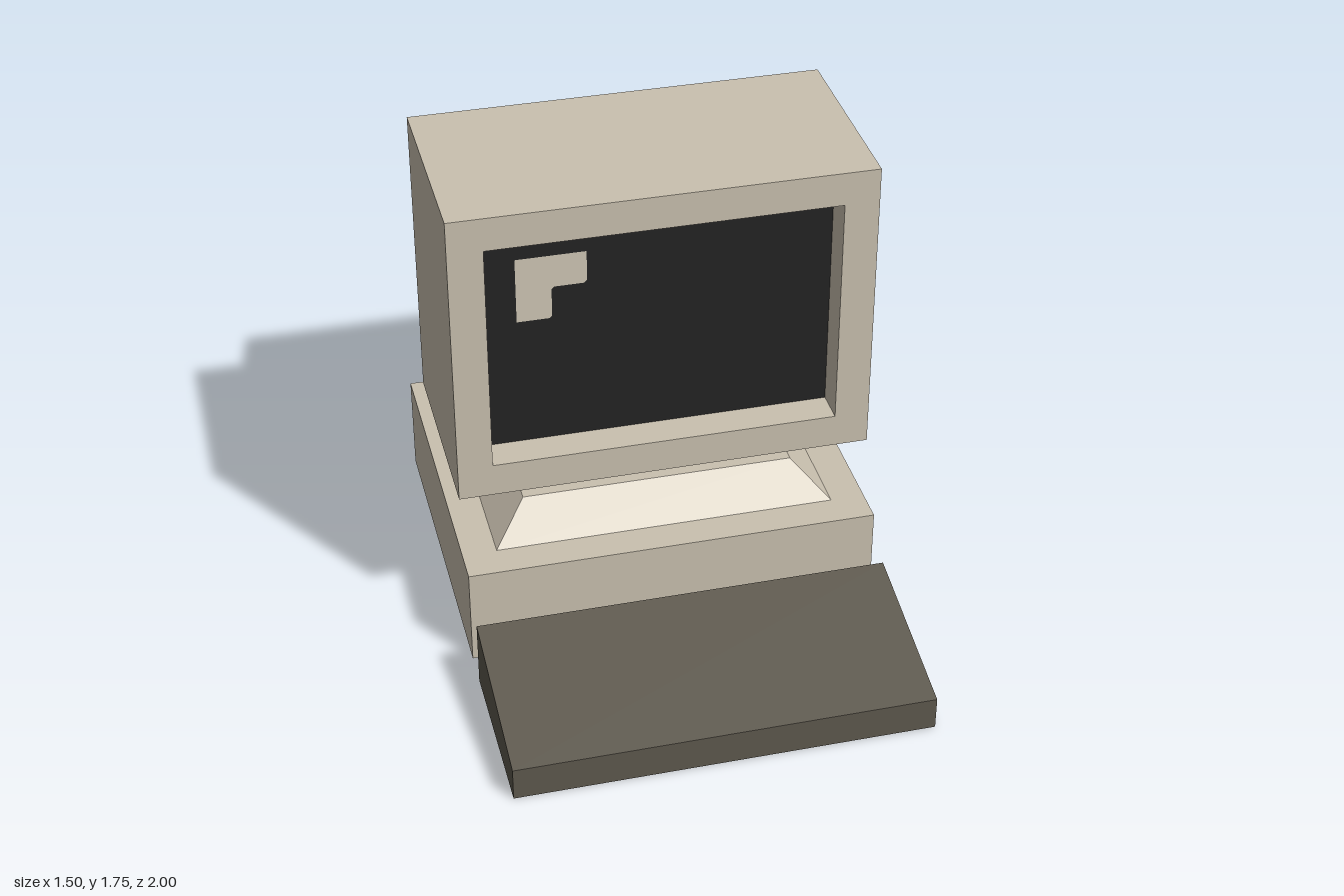
import * as THREE from 'three';

const paint = (name, color) => {
  const m = new THREE.MeshStandardMaterial({ color });
  m.name = name;
  return m;
};

// Rectangle path with optional rounded corners
function rect(path, x0, y0, x1, y1, r = 0) {
  if (!r) return path.moveTo(x0, y0).lineTo(x1, y0).lineTo(x1, y1).lineTo(x0, y1).closePath();
  path.moveTo(x0 + r, y0).lineTo(x1 - r, y0).quadraticCurveTo(x1, y0, x1, y0 + r);
  path.lineTo(x1, y1 - r).quadraticCurveTo(x1, y1, x1 - r, y1);
  path.lineTo(x0 + r, y1).quadraticCurveTo(x0, y1, x0, y1 - r);
  return path.lineTo(x0, y0 + r).quadraticCurveTo(x0, y0, x0 + r, y0);
}

const extrude = (shape, depth) =>
  new THREE.ExtrudeGeometry(shape, { depth, bevelEnabled: false, curveSegments: 4 });

// Side profile given as [z, y] points, extruded across the width
function sideProfile(points, width) {
  const shape = new THREE.Shape(points.map(([z, y]) => new THREE.Vector2(-z, y)));
  return extrude(shape, width).translate(0, 0, -width / 2).rotateY(Math.PI / 2);
}

export function createModel() {
  const model = new THREE.Group();
  model.name = 'desktopComputer';
  const beige = paint('beige casing', 0xcac1b0);
  const dark = paint('dark plastic', 0x5e594e);
  const black = paint('screen black', 0x232323);
  const glow = paint('screen glow', 0xd0c7b6);

  const add = (name, geometry, material, x = 0, y = 0, z = 0) => {
    const mesh = new THREE.Mesh(geometry, material);
    mesh.name = name;
    mesh.position.set(x, y, z);
    model.add(mesh);
    return mesh;
  };

  // Base unit
  add('baseUnit', new THREE.BoxGeometry(1.5, 0.375, 1.25), beige, 0, 0.1875, -0.375);

  // Tapered stand: a box whose top corners are pulled inward
  const stand = new THREE.BoxGeometry(1.25, 0.125, 1).toNonIndexed();
  const p = stand.attributes.position;
  for (let i = 0; i < p.count; i++) {
    if (p.getY(i) > 0) p.setXYZ(i, Math.sign(p.getX(i)) * 0.5, p.getY(i), Math.sign(p.getZ(i)) * 0.375);
  }
  stand.computeVertexNormals();
  add('stand', stand, beige, 0, 0.4375, -0.375);

  // Six-sided swivel neck
  add('neck', new THREE.CylinderGeometry(0.25, 0.25, 0.125, 6), beige, 0, 0.5625, -0.375);

  // Monitor shell, with the screen recess cut through it
  const shell = rect(new THREE.Shape(), -0.75, 0.625, 0.75, 1.75);
  shell.holes.push(rect(new THREE.Path(), -0.625, 0.75, 0.625, 1.625));
  add('monitorShell', extrude(shell, 0.75), beige, 0, 0, -0.625);

  // Rear housing with sloping top, closing the shell from behind
  add('rearHousing', sideProfile(
    [[-0.625, 0.625], [-1, 0.625], [-1, 1.5], [-0.625, 1.625]], 1.25), beige);

  // Recessed screen and its corner highlight
  add('screen', new THREE.PlaneGeometry(1.25, 0.875), black, 0, 1.1875, 0);
  const corner = [[-0.5, 1.25], [-0.385, 1.25], [-0.375, 1.26], [-0.375, 1.365], [-0.365, 1.375],
    [-0.26, 1.375], [-0.25, 1.385], [-0.25, 1.5], [-0.5, 1.5]];
  add('screenHighlight', new THREE.ShapeGeometry(
    new THREE.Shape(corner.map(([x, y]) => new THREE.Vector2(x, y)))), glow, 0, 0, 0.003);

  // Painted vents and ports on the back
  const backPlate = (name, x0, y0, x1, y1) =>
    add(name, extrude(rect(new THREE.Shape(), x0, y0, x1, y1, 0.03), 0.005), dark, 0, 0, -1.003);
  for (const y of [0.76, 1.01]) backPlate('vent', -0.5, y, -0.125, y + 0.115);
  for (const x of [-0.49, -0.24]) backPlate('port', x, 0.13, x + 0.11, 0.245);

  // Wedge keyboard
  add('keyboard', sideProfile([[1, 0], [0.375, 0], [0.375, 0.25], [1, 0.125]], 1.5), dark);

  return model;
}
